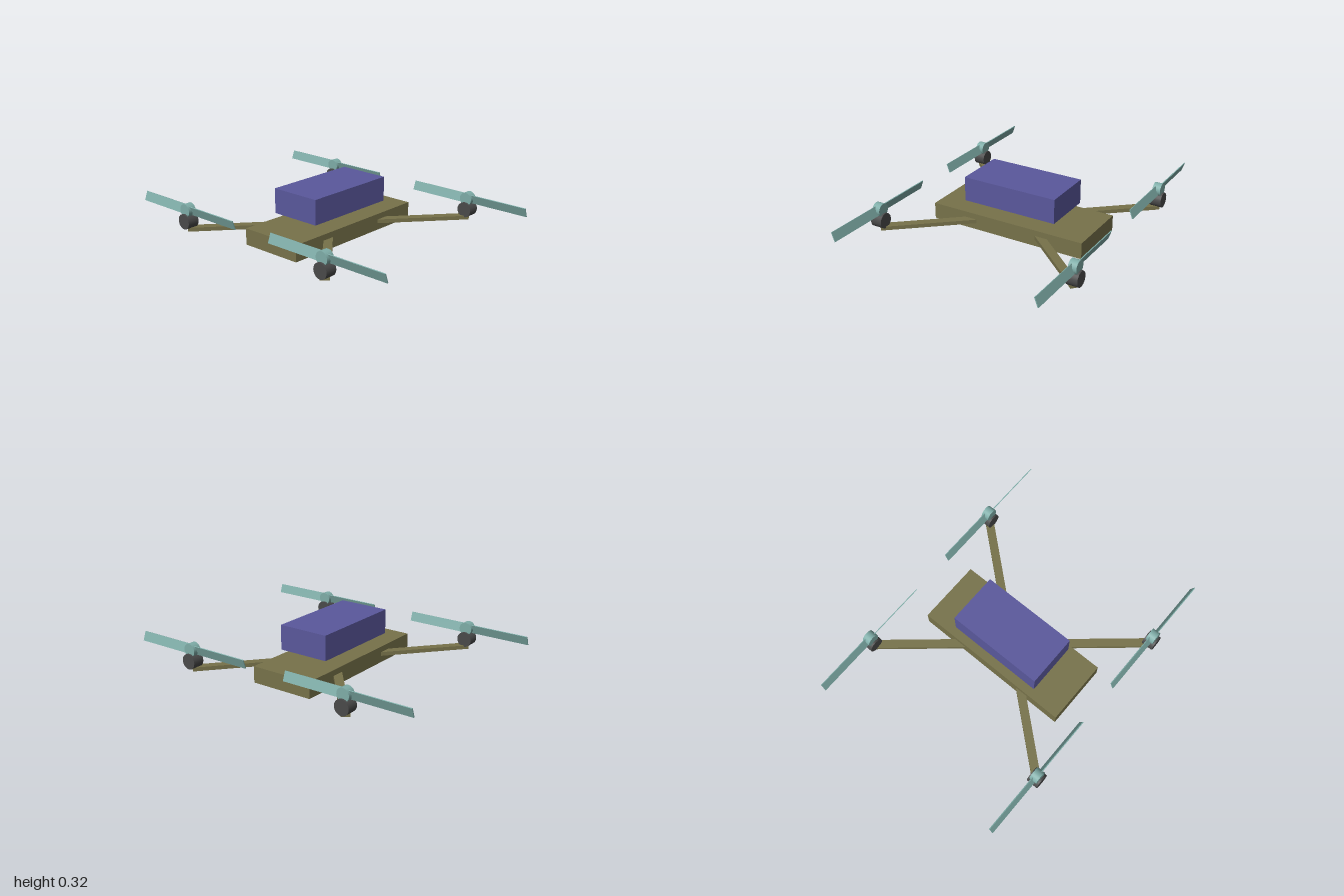
import * as THREE from 'three';

const mat = (color) => new THREE.MeshStandardMaterial({ color });

function part(name, geometry, material, x, y, z) {
  const mesh = new THREE.Mesh(geometry, material);
  mesh.name = name;
  mesh.position.set(x, y, z);
  return mesh;
}

export function createModel() {
  const model = new THREE.Group();
  model.name = 'quadcopter';
  const olive = mat(0x77724a), blue = mat(0x5a589c), dark = mat(0x4a4a4a), teal = mat(0x7fada8);

  // Central frame and the battery floating above it
  model.add(part('body', new THREE.BoxGeometry(0.424, 0.106, 1.06), olive, 0, 0.053, 0));
  model.add(part('battery', new THREE.BoxGeometry(0.34, 0.16, 0.64), blue, 0, 0.24, 0));

  // Shared geometry; motors and hubs lie along z
  const motorX = 0.575, motorZ = 0.678, rotorY = 0.178;
  const inner = new THREE.Vector2(0.182, 0.218), outer = new THREE.Vector2(0.579, 0.682);
  const armGeo = new THREE.BoxGeometry(0.055, 0.025, inner.distanceTo(outer));
  const motorGeo = new THREE.CylinderGeometry(0.049, 0.049, 0.077, 24).rotateX(Math.PI / 2);
  const hubGeo = new THREE.CylinderGeometry(0.042, 0.042, 0.053, 24).rotateX(Math.PI / 2);
  const bladeGeo = new THREE.BoxGeometry(0.425, 0.062, 0.006);

  for (const sx of [-1, 1]) {
    for (const sz of [-1, 1]) {
      // Diagonal arm
      const arm = part('arm', armGeo, olive,
        sx * (inner.x + outer.x) / 2, 0.056, sz * (inner.y + outer.y) / 2);
      arm.rotation.y = sx * sz * Math.atan2(outer.x - inner.x, outer.y - inner.y);
      model.add(arm);

      model.add(part('motor', motorGeo, dark, sx * motorX, 0.108, sz * motorZ));

      // Hub with two oppositely pitched blades
      const propeller = new THREE.Group();
      propeller.name = 'propeller';
      propeller.position.set(sx * motorX, rotorY, sz * motorZ);
      propeller.add(part('hub', hubGeo, teal, 0, 0, 0));
      for (const side of [-1, 1]) {
        const blade = part('blade', bladeGeo, teal, side * 0.2125, 0, 0);
        blade.rotation.x = side * 0.35;
        propeller.add(blade);
      }
      model.add(propeller);
    }
  }
  return model;
}
